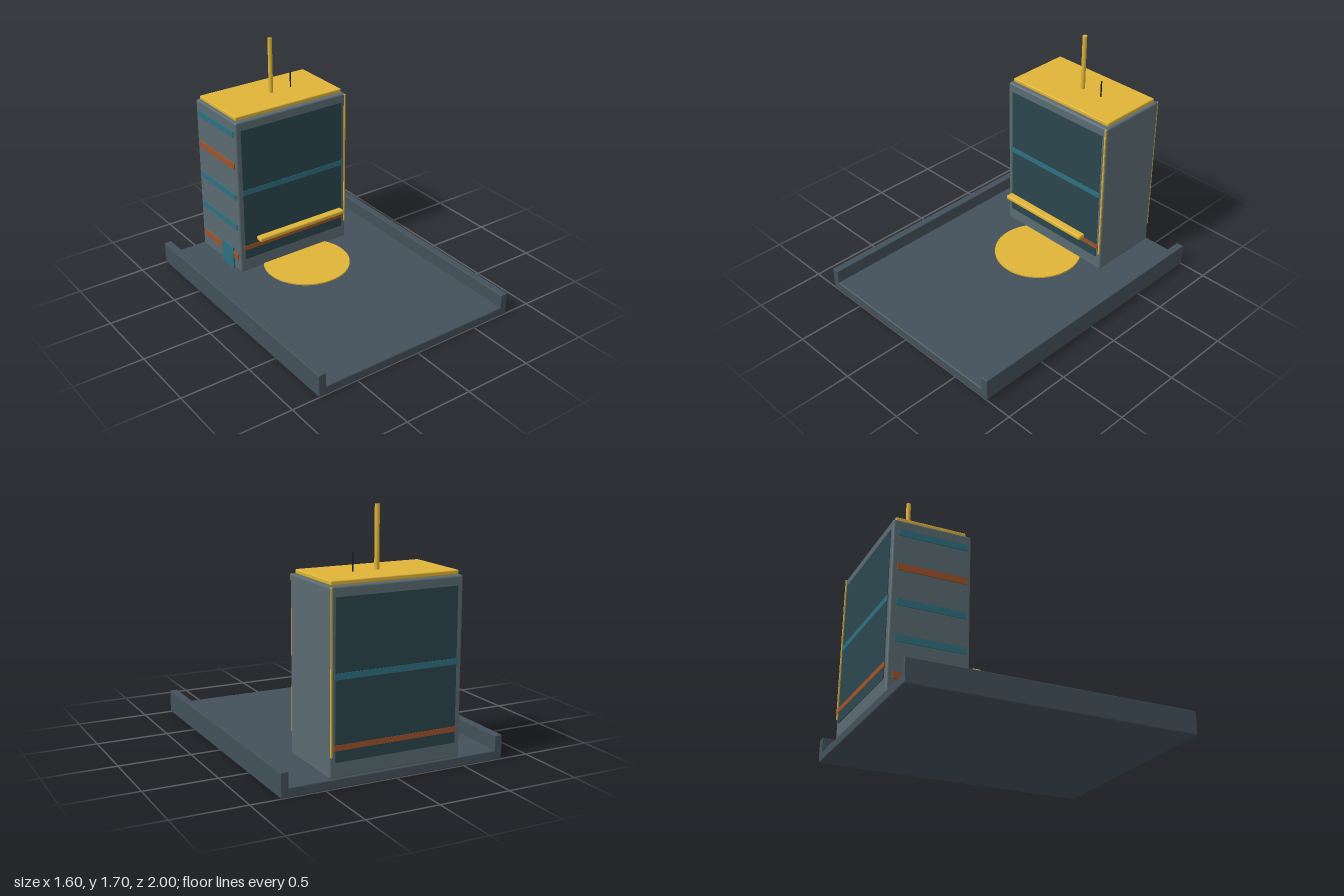
import * as THREE from 'three';
import { RoundedBoxGeometry } from 'three/addons/geometries/RoundedBoxGeometry.js';

const mat = (color) => new THREE.MeshStandardMaterial({ color });
const slate = mat(0x43515a), wall = mat(0x5a6b72), glass = mat(0x2b464d);
const teal = mat(0x2f7080), rust = mat(0xa0522a), yellow = mat(0xdfb437), black = mat(0x15181b);

export function createModel() {
  const model = new THREE.Group();

  const add = (name, geometry, material, x, y, z) => {
    const mesh = new THREE.Mesh(geometry, material);
    mesh.name = name;
    mesh.position.set(x, y, z);
    model.add(mesh);
    return mesh;
  };
  // Box given by its extents on each axis; r rounds the edges
  const block = (name, material, [x0, x1], [y0, y1], [z0, z1], r = 0) => {
    const size = [x1 - x0, y1 - y0, z1 - z0];
    const geometry = r ? new RoundedBoxGeometry(...size, 2, r) : new THREE.BoxGeometry(...size);
    return add(name, geometry, material, (x0 + x1) / 2, (y0 + y1) / 2, (z0 + z1) / 2);
  };
  const rod = (name, material, r, y0, y1, x, z) =>
    add(name, new THREE.CylinderGeometry(r, r, y1 - y0, 24), material, x, (y0 + y1) / 2, z);

  // Ground tray with a raised rail along each side
  block('basePlate', slate, [-0.8, 0.8], [0, 0.065], [-1, 1], 0.01);
  for (const s of [-1, 1]) {
    const rail = block('sideRail', slate, [0.745, 0.8], [0.045, 0.165], [-1, 1], 0.005);
    rail.position.x *= s;
  }

  // Round forecourt
  add('forecourtDisc', new THREE.CylinderGeometry(0.32, 0.32, 0.012, 64), yellow, 0, 0.069, -0.287);

  // Tower body
  block('towerBody', wall, [-0.47, 0.47], [0.06, 1.255], [-0.99, -0.448], 0.015);

  // Glazing, bands and corner trim on the front and back walls
  for (const [side, z, dir] of [['front', -0.448, 1], ['back', -0.99, -1]]) {
    const depth = (d) => [z - 0.01, z + 0.01].map((v, i) => ((dir > 0) === (i === 1) ? z + dir * d : v));
    block(side + 'Glazing', glass, [-0.43, 0.43], [0.165, 1.19], depth(0.004));
    block(side + 'UpperBand', teal, [-0.44, 0.44], [0.685, 0.725], depth(0.007));
    block(side + 'LowerBand', rust, [-0.44, 0.44], [0.24, 0.275], depth(0.007));
    block(side + 'CornerTrim', yellow, [0.453, 0.463], [0.2, 1.25], depth(0.008));
  }

  // Window strips and door on the side wall
  [teal, rust, teal, teal, rust].forEach((material, i) => {
    const y = 1.162 - i * 0.245;
    block('sideWindowStrip', material, [-0.478, -0.46], [y - 0.023, y + 0.023], [-0.95, -0.475]);
  });
  block('sideDoor', teal, [-0.481, -0.46], [0.065, 0.235], [-0.695, -0.535]);

  // Entrance canopy bar
  block('canopyBar', yellow, [-0.37, 0.37], [0.34, 0.373], [-0.382, -0.322], 0.01);

  // Roof slab, mast and aerial
  block('roofSlab', yellow, [-0.45, 0.45], [1.255, 1.285], [-0.967, -0.477], 0.008);
  rod('mast', yellow, 0.016, 1.28, 1.695, 0, -0.72);
  rod('aerial', black, 0.005, 1.28, 1.405, 0.17, -0.72);

  return model;
}
